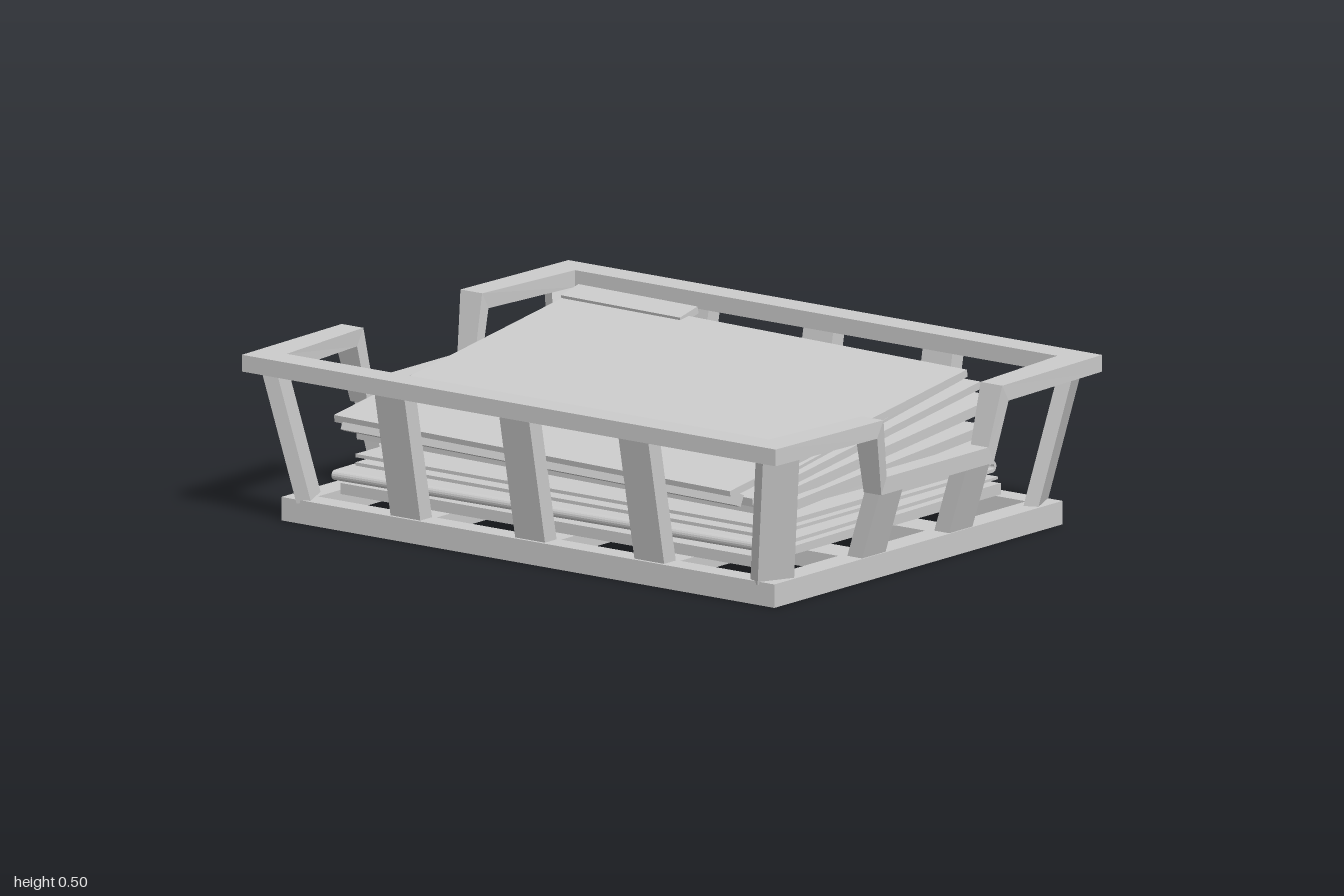
import * as THREE from 'three';

const mat = new THREE.MeshStandardMaterial({ color: 0xcccccc, flatShading: true, side: THREE.DoubleSide });

function add(parent, name, geometry) {
  const mesh = new THREE.Mesh(geometry, mat);
  mesh.name = name;
  parent.add(mesh);
  return mesh;
}

// Upright bar whose foot and head sit at different [x, z] centres
function leaningBar(parent, name, foot, head, y0, y1, w, t, yaw = 0) {
  const g = new THREE.BoxGeometry(w, 1, t).rotateY(yaw);
  const p = g.attributes.position;
  for (let i = 0; i < p.count; i++) {
    const top = p.getY(i) > 0, c = top ? head : foot;
    p.setXYZ(i, p.getX(i) + c[0], top ? y1 : y0, p.getZ(i) + c[1]);
  }
  g.computeVertexNormals();
  return add(parent, name, g);
}

// Flat board running from a = [x, y] to b = [x, y] (centre line), between z0 and z1
function sheet(parent, name, a, b, z0, z1, thick, yaw = 0) {
  const dx = b[0] - a[0], dy = b[1] - a[1];
  const m = add(parent, name, new THREE.BoxGeometry(Math.hypot(dx, dy), thick, z1 - z0));
  m.position.set((a[0] + b[0]) / 2, (a[1] + b[1]) / 2, (z0 + z1) / 2);
  m.rotation.set(0, yaw, Math.atan2(dy, dx), 'YXZ');
  return m;
}

// Closed folder: two covers joined by a rounded spine
function foldedFolder(parent, name, length, height, depth, t) {
  const r = height / 2, s = new THREE.Shape();
  s.moveTo(length, -r);
  s.lineTo(r, -r);
  s.absarc(0, 0, r, -Math.PI / 2, Math.PI / 2, true);
  s.lineTo(length, r);
  s.lineTo(length, r - t);
  s.lineTo(0, r - t);
  s.absarc(0, 0, r - t, Math.PI / 2, -Math.PI / 2, false);
  s.lineTo(length, -r + t);
  const g = new THREE.ExtrudeGeometry(s, { depth, bevelEnabled: false, curveSegments: 4 });
  return add(parent, name, g.translate(0, 0, -depth / 2));
}

// Top rim: four-cornered section swept round the tray, dipping at both ends
function rimGeometry() {
  // [top x, bottom x, top y, outer z, inner x offset, inner z]
  const half = [
    [0.77, 0.77, 0.5, 0.985, 0.09, 0.89],
    [0.28, 0.31, 0.5, 1.0, 0, 0.92],
    [0.24, 0.265, 0.32, 0.98, 0, 0.915],
  ];
  const end = [...half, ...half.slice().reverse().map(([a, b, y, z, d, iz]) => [-a, -b, y, z, -d, iz])];
  const rings = [];
  for (const s of [1, -1]) {
    for (const [a, b, y, z, d, iz] of end) {
      rings.push([
        [s * a, y, s * z], [s * (a - d), y, s * iz],
        [s * (b - d), y - 0.05, s * iz], [s * b, y - 0.05, s * z],
      ]);
    }
  }
  const pos = [];
  rings.forEach((r, i) => {
    const n = rings[(i + 1) % rings.length];
    for (let k = 0; k < 4; k++) {
      const j = (k + 1) % 4;
      pos.push(...r[k], ...r[j], ...n[j], ...r[k], ...n[j], ...n[k]);
    }
  });
  const g = new THREE.BufferGeometry();
  g.setAttribute('position', new THREE.Float32BufferAttribute(pos, 3));
  g.computeVertexNormals();
  return g;
}

export function createModel() {
  const model = new THREE.Group();
  const tray = new THREE.Group();
  tray.name = 'tray';
  const papers = new THREE.Group();
  papers.name = 'papers';
  model.add(tray, papers);

  // Base frame
  const outline = new THREE.Shape([[-0.68, -0.91], [0.68, -0.91], [0.68, 0.91], [-0.68, 0.91]]
    .map(p => new THREE.Vector2(...p)));
  outline.holes.push(new THREE.Path([[-0.61, -0.83], [-0.61, 0.83], [0.61, 0.83], [0.61, -0.83]]
    .map(p => new THREE.Vector2(...p))));
  add(tray, 'baseFrame', new THREE.ExtrudeGeometry(outline, { depth: 0.07, bevelEnabled: false }).rotateX(-Math.PI / 2));

  // Floor slats
  for (const x of [-0.205, 0.205])
    add(tray, 'lengthSlat', new THREE.BoxGeometry(0.11, 0.05, 1.68)).position.set(x, 0.04, 0);
  for (const z of [-0.46, 0, 0.44])
    add(tray, 'crossSlat', new THREE.BoxGeometry(1.24, 0.05, 0.11)).position.set(0, 0.04, z);

  add(tray, 'topRim', rimGeometry());

  // Wall slats and corner posts
  for (const s of [1, -1]) {
    for (const z of [-0.46, 0, 0.44])
      leaningBar(tray, 'sideSlat', [s * 0.64, z], [s * 0.72, z], 0.06, 0.46, 0.055, 0.11);
    for (const x of [-0.205, 0.205])
      leaningBar(tray, 'endSlat', [x, s * 0.875], [x, s * 0.945], 0.06, 0.28, 0.11, 0.055);
    for (const q of [1, -1])
      leaningBar(tray, 'cornerPost', [s * 0.62, q * 0.855], [s * 0.69, q * 0.93], 0.06, 0.46, 0.12, 0.045, s * q * 0.42);
  }

  // Flat folders at the bottom of the pile
  sheet(papers, 'bottomFolder', [-0.58, 0.097], [0.6, 0.097], -0.77, 0.745, 0.033);
  const lower = foldedFolder(papers, 'foldedFolder', 1.08, 0.03, 1.6, 0.008);
  lower.position.set(-0.55, 0.132, 0);
  lower.rotation.y = 0.025;
  sheet(papers, 'foldedFolderPages', [-0.5, 0.132], [0.5, 0.132], -0.76, 0.76, 0.012, 0.025);
  const upper = foldedFolder(papers, 'foldedFolder', 1.07, 0.035, 1.515, 0.01);
  upper.position.set(0.56, 0.17, -0.012);
  upper.rotation.y = Math.PI;
  sheet(papers, 'foldedFolderPages', [-0.45, 0.17], [0.5, 0.17], -0.74, 0.72, 0.014);
  sheet(papers, 'flatFolder', [-0.47, 0.23], [0.56, 0.23], -0.74, 0.74, 0.03, -0.03);

  // Tilted folders
  sheet(papers, 'tiltedFolder', [-0.46, 0.24], [0.49, 0.29], -0.8, 0.77, 0.03, 0.035);
  sheet(papers, 'tiltedFolder', [-0.46, 0.25], [0.56, 0.38], -0.83, 0.77, 0.03, -0.05);
  sheet(papers, 'folderTab', [0.5, 0.372], [0.65, 0.39], -0.78, -0.33, 0.018, -0.04);

  // Open folder on top: covers meeting at a spine, loose pages between
  sheet(papers, 'lowerCover', [-0.55, 0.27], [0.5, 0.43], -0.79, 0.75, 0.022, -0.02);
  sheet(papers, 'loosePages', [-0.4, 0.312], [0.46, 0.442], -0.75, 0.71, 0.012, 0.02);
  sheet(papers, 'folderSpine', [-0.575, 0.262], [-0.56, 0.295], -0.79, 0.72, 0.02, -0.04);
  sheet(papers, 'upperCover', [-0.575, 0.292], [0.49, 0.466], -0.8, 0.71, 0.022, -0.04);
  sheet(papers, 'folderTab', [0.47, 0.468], [0.55, 0.487], -0.78, -0.33, 0.022, -0.03);

  return model;
}
